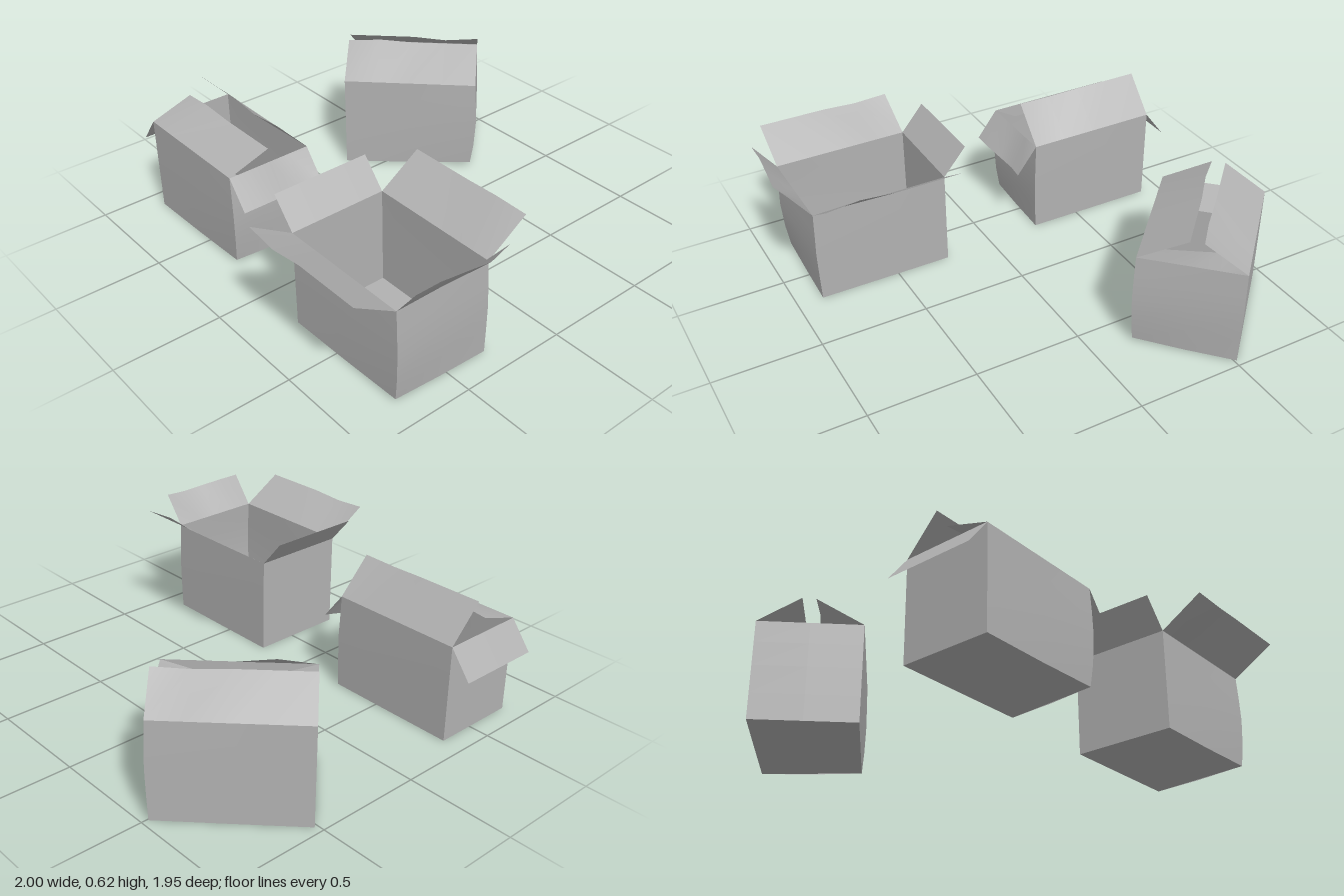
import * as THREE from 'three';

const cardboard = new THREE.MeshStandardMaterial({ color: 0xb2b2b2, side: THREE.DoubleSide });
cardboard.name = 'plain cardboard';

const HEIGHT = 0.46;
const SIDES = ['front', 'right', 'back', 'left'];
const LEVELS = [0, 0.12, 0.25, 0.36, HEIGHT];

// Crumple of the corner edges at each level: the front right one is the most worn
const CRUMPLE = [
  [0, 0, 0, 0, 0],
  [-0.013, 0.002, 0.01, 0.006, 0],
  [0, 0.004, 0.007, 0.003, 0],
  [0, 0, 0, 0, 0],
];
const LIFT = [0, 0.015, 0.003, 0];

// Bend of each flap's free edge, along its length
const CURL = [
  [0, 0.015, 0, 0, 0],
  [0, 0, 0.012, 0.025, 0],
  [0, -0.012, 0, 0, 0],
  [0, 0, 0, 0, 0],
];

// Thin sheet spanning rows of points
function sheet(name, rows) {
  const n = rows[0].length;
  const index = [];
  for (let r = 0; r < rows.length - 1; r++) {
    for (let c = 0; c < n - 1; c++) {
      const a = r * n + c;
      index.push(a, a + 1, a + n + 1, a, a + n + 1, a + n);
    }
  }
  const geometry = new THREE.BufferGeometry();
  geometry.setFromPoints(rows.flat());
  geometry.setIndex(index);
  geometry.computeVertexNormals();
  const mesh = new THREE.Mesh(geometry, cardboard);
  mesh.name = name;
  return mesh;
}

// flaps: [outward reach, rise] of the free edge for front, right, back, left
function makeBox(name, width, depth, flaps) {
  const box = new THREE.Group();
  box.name = name;
  const signs = [[-1, 1], [1, 1], [1, -1], [-1, -1]];

  // Four corner edges, from floor to rim
  const edges = signs.map(([sx, sz], i) => LEVELS.map((y, k) => new THREE.Vector3(
    sx * (width / 2 + CRUMPLE[i][k]),
    k === 0 ? LIFT[i] : y,
    sz * (depth / 2 + CRUMPLE[i][k] * 0.4)
  )));

  box.add(sheet('floor', [
    [edges[3][0], edges[2][0]],
    [edges[0][0], edges[1][0]],
  ]));

  SIDES.forEach((side, i) => {
    const a = edges[i], b = edges[(i + 1) % 4];
    box.add(sheet(side + 'Wall', LEVELS.map((_, k) =>
      [0, 0.5, 1].map((t) => {
        const p = a[k].clone().lerp(b[k], t);
        if (k === 0 && t === 0.5) p.y *= 0.6;
        return p;
      }))));

    // Flap hinged on the rim of this wall
    const start = a[4], end = b[4];
    const along = end.clone().sub(start).normalize();
    const out = new THREE.Vector3(-along.z, 0, along.x);
    const [reach, rise] = flaps[i];
    const length = Math.hypot(reach, rise);
    const hinge = [], tip = [];
    CURL[i].forEach((curl, k) => {
      const p = start.clone().lerp(end, k / 4);
      hinge.push(p);
      const q = p.clone().addScaledVector(out, reach + curl * rise / length);
      // Curl acts at right angles to the flap
      q.y += rise - curl * reach / length;
      tip.push(q);
    });
    box.add(sheet(side + 'Flap', [hinge, tip]));
  });
  return box;
}

export function createModel() {
  const model = new THREE.Group();
  model.name = 'cardboardBoxes';

  // Box with all flaps spread open
  const open = makeBox('openBox', 0.64, 0.465,
    [[0.195, 0.12], [0.105, 0.138], [0.195, 0.13], [0.11, 0.13]]);
  open.position.set(0.56, 0, 0.534);

  // Box with long flaps leaning in and short flaps drooping outside
  const half = makeBox('halfClosedBox', 0.64, 0.41,
    [[-0.205, 0.068], [0.1, -0.13], [-0.152, 0.162], [0.1, -0.13]]);
  half.position.set(-0.58, 0, 0.53);

  // Box turned at an angle with all flaps folded in
  const closed = makeBox('closedBox', 0.645, 0.465,
    [[-0.215, 0.12], [-0.16, -0.05], [-0.19, 0.122], [-0.16, -0.05]]);
  closed.position.set(-0.573, 0, -0.58);
  closed.rotation.y = Math.PI / 4;

  model.add(open, half, closed);
  return model;
}
